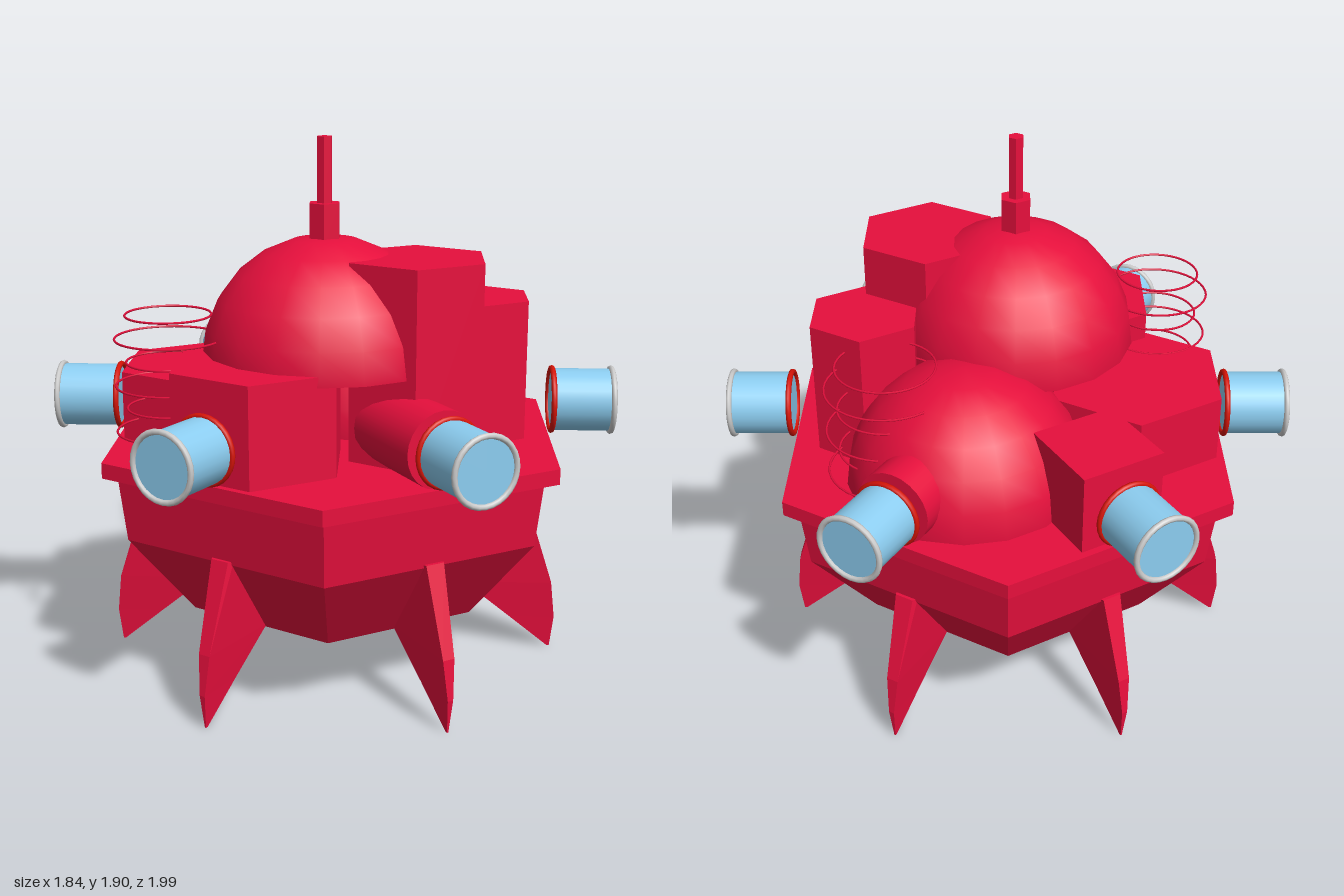
import * as THREE from 'three';

const red = new THREE.MeshStandardMaterial({ color: 0xe60f3c });
const redFlat = new THREE.MeshStandardMaterial({ color: 0xe60f3c, flatShading: true });
const blue = new THREE.MeshStandardMaterial({ color: 0x8ccdf0 });
const grey = new THREE.MeshStandardMaterial({ color: 0xcccccc });
const seal = new THREE.MeshStandardMaterial({ color: 0xd81408 });

function add(parent, name, geometry, material, x = 0, y = 0, z = 0) {
  const mesh = new THREE.Mesh(geometry, material);
  mesh.name = name;
  mesh.position.set(x, y, z);
  parent.add(mesh);
  return mesh;
}

// Six-sided prism or frustum with corners on the x axis, from y0 to y1
function hex(parent, name, rTop, rBottom, y0, y1, x = 0, z = 0) {
  const g = new THREE.CylinderGeometry(rTop, rBottom, y1 - y0, 6, 1, false, Math.PI / 2);
  return add(parent, name, g, redFlat, x, (y0 + y1) / 2, z);
}

// Closed half sphere
function dome(parent, name, r, x, y, z) {
  add(parent, name, new THREE.SphereGeometry(r, 18, 6, 0, Math.PI * 2, 0, Math.PI / 2), red, x, y, z);
  add(parent, name + 'Base', new THREE.CircleGeometry(r, 18).rotateX(Math.PI / 2), red, x, y, z);
}

// Cylinder lying along z
function lyingCylinder(r, length) {
  return new THREE.CylinderGeometry(r, r, length, 24).rotateX(Math.PI / 2);
}

// Leg fin lofted through horizontal sections: y, inner distance, outer distance, half width
function finGeometry() {
  const sections = [
    [0, 0.795, 0.803, 0.003],
    [0.12, 0.65, 0.816, 0.013],
    [0.26, 0.48, 0.8, 0.027],
    [0.56, 0.685, 0.705, 0.042],
  ];
  const pos = [], index = [];
  for (const [y, a, b, w] of sections) pos.push(-w, y, a, w, y, a, w * 0.8, y, b, -w * 0.8, y, b);
  for (let s = 0; s < sections.length - 1; s++) {
    for (let i = 0; i < 4; i++) {
      const p = s * 4 + i, q = s * 4 + (i + 1) % 4;
      index.push(p, p + 4, q, q, p + 4, q + 4);
    }
  }
  const t = (sections.length - 1) * 4;
  index.push(0, 1, 2, 0, 2, 3, t, t + 2, t + 1, t, t + 3, t + 2);
  const g = new THREE.BufferGeometry();
  g.setAttribute('position', new THREE.Float32BufferAttribute(pos, 3));
  g.setIndex(index);
  g.computeVertexNormals();
  return g;
}

// Stack of thin rings alternating between two sizes
function coil(parent, name, x, z, top, small, large) {
  const group = new THREE.Group();
  group.name = name;
  for (let i = 0; i < 6; i++) {
    const g = new THREE.TorusGeometry(i % 2 ? large : small, 0.004, 5, 40).rotateX(Math.PI / 2);
    add(group, 'ring', g, red, x, top - i * 0.08, z);
  }
  parent.add(group);
}

export function createModel() {
  const model = new THREE.Group();
  model.name = 'station';

  // Hull and deck
  hex(model, 'keel', 0.475, 0.245, 0.12, 0.25);
  hex(model, 'lowerHull', 0.8, 0.56, 0.25, 0.548);
  hex(model, 'upperHull', 0.83, 0.8, 0.548, 0.785);
  hex(model, 'deck', 0.884, 0.884, 0.782, 0.836);

  // Legs and docking ports on each of the six sides
  const fin = finGeometry();
  const portY = 0.957;
  for (let i = 0; i < 6; i++) {
    const side = new THREE.Group();
    side.name = 'side';
    side.rotation.y = i * Math.PI / 3;
    add(side, 'leg', fin, redFlat);
    add(side, 'port', lyingCylinder(0.111, 0.21), blue, 0, portY, 0.88);
    add(side, 'portSeal', new THREE.TorusGeometry(0.112, 0.01, 8, 28), seal, 0, portY, 0.775);
    add(side, 'portRim', new THREE.TorusGeometry(0.113, 0.01, 8, 28), grey, 0, portY, 0.985);
    // Connecting tubes on two sides only
    if (i === 0 || i === 2) add(side, 'connector', lyingCylinder(0.132, 0.35), red, 0, portY, 0.565);
    model.add(side);
  }

  // Deck buildings
  hex(model, 'tallTower', 0.255, 0.255, 0.83, 1.51, 0.115, 0.365);
  hex(model, 'mediumTower', 0.205, 0.205, 0.83, 1.33, 0.435, 0.24);
  hex(model, 'sideBlock', 0.31, 0.31, 0.83, 1.18, -0.412, 0.235);
  hex(model, 'lowBlock', 0.335, 0.335, 0.83, 1.08, -0.385, -0.23);
  add(model, 'rearBlock', new THREE.BoxGeometry(0.305, 0.29, 0.31), redFlat, 0, 0.977, -0.585);

  // Domes and antenna
  dome(model, 'largeDome', 0.425, -0.11, 1.145, 0.14);
  dome(model, 'smallDome', 0.417, 0.255, 0.834, -0.155);
  hex(model, 'antennaBase', 0.057, 0.057, 1.54, 1.68, -0.115, 0.145);
  hex(model, 'antennaRod', 0.028, 0.028, 1.67, 1.9, -0.115, 0.145);

  // Coils
  coil(model, 'rightCoil', -0.63, 0, 1.32, 0.145, 0.182);
  coil(model, 'leftCoil', 0.49, -0.03, 1.27, 0.17, 0.21);

  return model;
}
